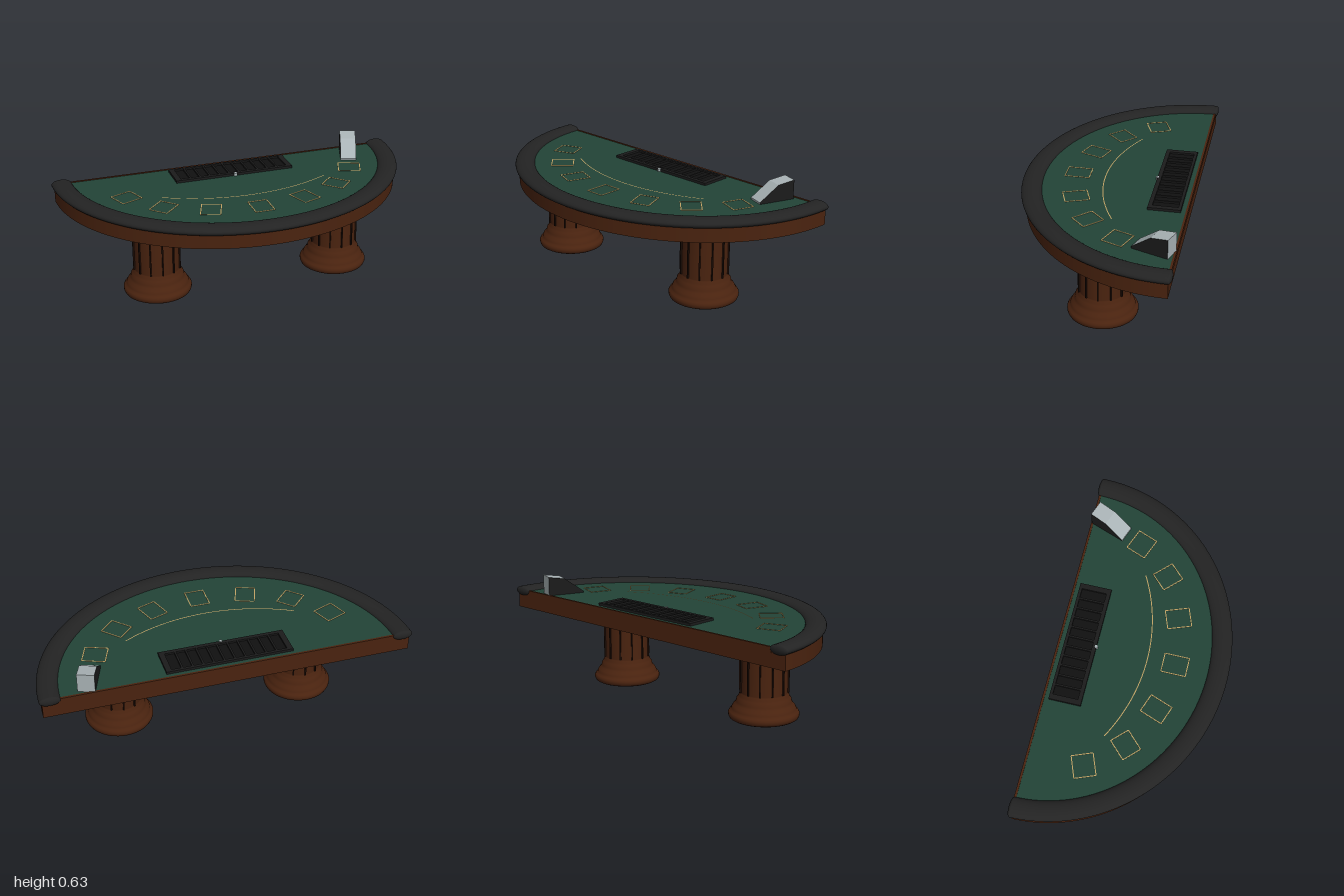
import * as THREE from 'three';

const mat = (name, color, side = THREE.FrontSide) => {
  const m = new THREE.MeshStandardMaterial({ color, side });
  m.name = name;
  return m;
};

export function createModel() {
  const wood = mat('wood', 0x4a230f);
  const darkWood = mat('dark wood', 0x1e0e06);
  const felt = mat('green felt', 0x224437);
  const leather = mat('black leather', 0x232323);
  const black = mat('black plastic', 0x1b1b1b);
  const slotBlack = mat('slot black', 0x101010);
  const silver = mat('silver', 0xaab4b7);
  const gold = mat('gold line', 0xc2a465);

  const model = new THREE.Group();
  const add = (parent, name, geometry, material, x = 0, y = 0, z = 0) => {
    const mesh = new THREE.Mesh(geometry, material);
    mesh.name = name;
    mesh.position.set(x, y, z);
    parent.add(mesh);
    return mesh;
  };
  const group = (name, x = 0, y = 0, z = 0) => {
    const g = new THREE.Group();
    g.name = name;
    g.position.set(x, y, z);
    model.add(g);
    return g;
  };
  const box = (w, h, d) => new THREE.BoxGeometry(w, h, d);

  // flat slab from a plan shape, shape y becoming z, top face at yTop
  const slab = (shape, yTop, depth) => {
    const g = new THREE.ExtrudeGeometry(shape, { depth, bevelEnabled: false, curveSegments: 96 });
    return g.rotateX(Math.PI / 2).translate(0, yTop, 0);
  };
  const BACK = -0.457;
  const halfOval = (rx, rz, back = BACK) => {
    const s = new THREE.Shape();
    s.absellipse(0, back, rx, rz, 0, Math.PI, false, 0);
    s.closePath();
    return s;
  };

  // table top
  add(model, 'apron', slab(halfOval(0.985, 0.902), 0.505, 0.08), wood);
  add(model, 'upperDeck', slab(halfOval(0.94, 0.86), 0.522, 0.03), wood);
  add(model, 'feltSurface', slab(halfOval(0.93, 0.85, -0.448), 0.526, 0.006), felt);
  add(model, 'backLip', box(1.8, 0.03, 0.012), wood, 0, 0.514, -0.454);

  // padded rail with rounded ends
  class RailCurve extends THREE.Curve {
    getPoint(t, target = new THREE.Vector3()) {
      return target.set(0.945 * Math.cos(Math.PI * t), 0, BACK + 0.872 * Math.sin(Math.PI * t));
    }
  }
  const rail = group('armRail', 0, 0.5225, 0);
  rail.scale.y = 0.47;
  add(rail, 'railPad', new THREE.TubeGeometry(new RailCurve(), 120, 0.055, 24), leather);
  for (const s of [-1, 1]) {
    add(rail, 'railEnd', new THREE.SphereGeometry(0.055, 24, 16), leather, s * 0.945, 0, BACK).scale.z = 0.3;
  }

  // turned pedestals with ribbed shafts
  const profile = [
    [0, 0], [0.172, 0], [0.182, 0.006], [0.187, 0.018], [0.187, 0.03], [0.181, 0.04], [0.172, 0.046],
    [0.17, 0.055], [0.163, 0.068], [0.152, 0.08], [0.146, 0.092], [0.144, 0.105], [0.136, 0.114],
    [0.132, 0.125], [0.127, 0.138], [0.125, 0.142], [0.125, 0.376], [0.128, 0.385], [0.135, 0.394],
    [0.143, 0.402], [0.148, 0.412], [0.148, 0.426],
  ].map(([r, y]) => new THREE.Vector2(r, y));
  for (const s of [-1, 1]) {
    const pedestal = group(s > 0 ? 'leftPedestal' : 'rightPedestal', s * 0.52, 0, -0.053);
    add(pedestal, 'column', new THREE.LatheGeometry(profile, 48), wood);
    for (let i = 0; i < 12; i++) {
      const a = (i * Math.PI) / 6;
      const rib = add(pedestal, 'rib', box(0.007, 0.232, 0.014), darkWood,
        0.126 * Math.sin(a), 0.258, 0.126 * Math.cos(a));
      rib.rotation.y = a;
    }
  }

  // betting boxes and the curved line
  const LINE = 0.005;
  const bettingBox = (x, z, turn, w, l) => {
    const g = group('bettingBox', x, 0.527, z);
    g.rotation.y = turn;
    for (const s of [-1, 1]) {
      add(g, 'boxLine', box(w, 0.002, LINE), gold, 0, 0, (s * l) / 2);
      add(g, 'boxLine', box(LINE, 0.002, l), gold, (s * w) / 2, 0, 0);
    }
  };
  bettingBox(0, 0.182, 0, 0.105, 0.133);
  for (const s of [-1, 1]) {
    bettingBox(s * 0.265, 0.14, s * 0.35, 0.106, 0.13);
    bettingBox(s * 0.492, 0.03, s * 0.785, 0.108, 0.122);
    bettingBox(s * 0.65, -0.155, s * 1.2, 0.115, 0.122);
  }
  const arc = new THREE.RingGeometry(0.978, 0.983, 64, 1, -Math.PI / 2 - 0.5, 1.0).rotateX(-Math.PI / 2);
  add(model, 'curvedLine', arc, gold, 0, 0.528, -0.95);

  // chip tray: frame, sunken floor, dividers and lock
  const tray = group('chipTray');
  const rect = (path, x0, z0, x1, z1) => {
    path.moveTo(x0, z0).lineTo(x1, z0).lineTo(x1, z1).lineTo(x0, z1).closePath();
    return path;
  };
  const frame = rect(new THREE.Shape(), -0.342, -0.424, 0.34, -0.25);
  frame.holes.push(rect(new THREE.Path(), -0.312, -0.408, 0.31, -0.272));
  add(tray, 'trayFrame', slab(frame, 0.54, 0.016), black);
  add(tray, 'trayFloor', box(0.63, 0.004, 0.14), slotBlack, 0, 0.528, -0.34);
  for (let i = 1; i < 11; i++) {
    add(tray, 'trayDivider', box(0.01, 0.01, 0.137), black, -0.312 + i * 0.0565, 0.534, -0.34);
  }
  add(tray, 'trayLock', new THREE.CylinderGeometry(0.009, 0.009, 0.016, 16), silver, 0, 0.534, -0.25);

  // card dispenser: wedge profile (length, height) with black cheeks
  const shoe = group('cardDispenser', 0.725, 0.526, -0.352);
  shoe.rotation.y = -0.35;
  const wedge = new THREE.Shape(
    [[-0.108, 0], [0.095, 0], [0.095, 0.105], [0, 0.09], [-0.108, 0.01]].map(([l, h]) => new THREE.Vector2(l, h)));
  const prism = new THREE.ExtrudeGeometry(wedge, { depth: 0.09, bevelEnabled: false });
  prism.translate(0, 0, -0.045).rotateY(Math.PI / 2);
  add(shoe, 'dispenserBody', prism, [black, silver]);

  return model;
}
